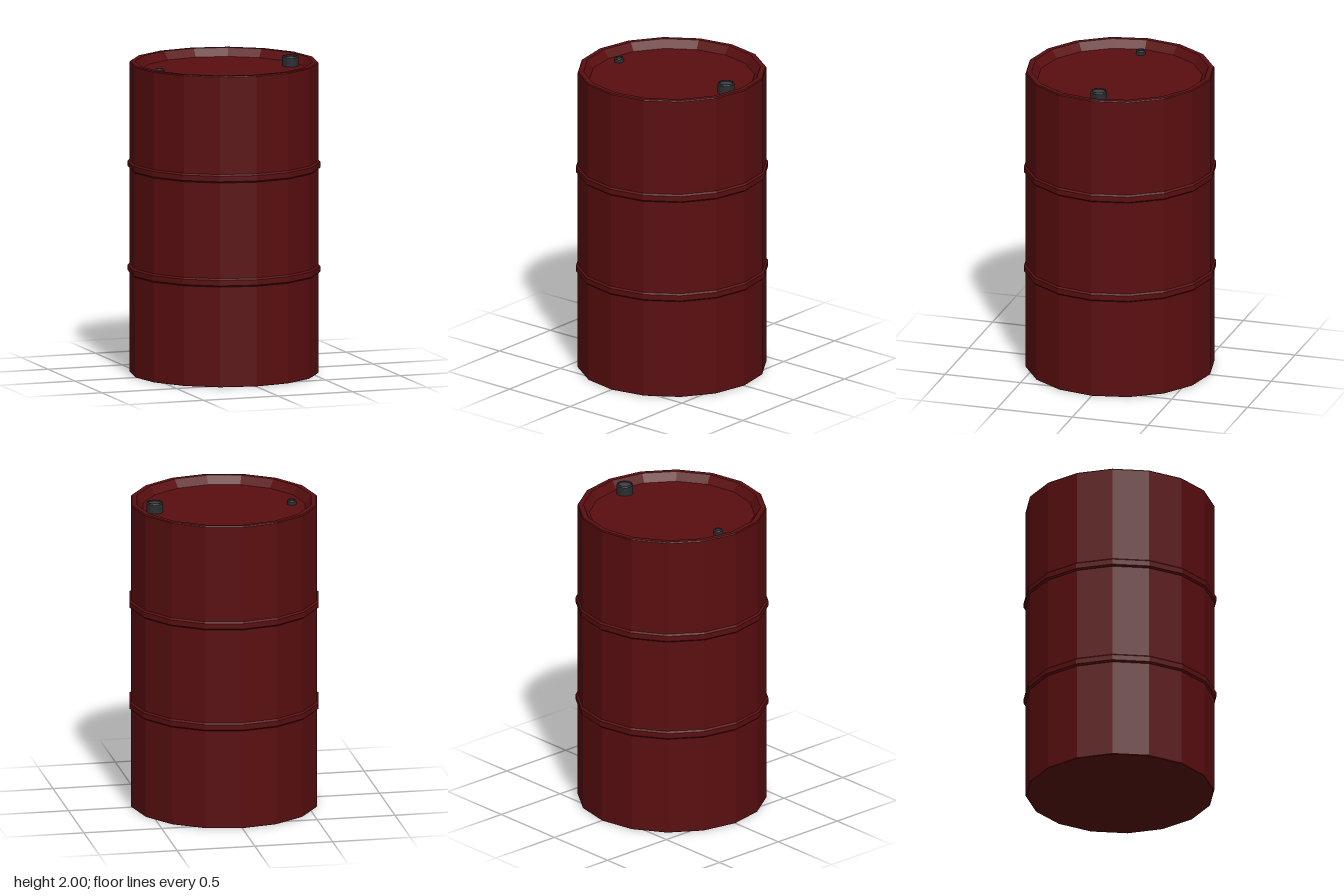
import * as THREE from 'three';

const SIDES = 16;

// Revolves a [radius, height] profile and gives it crisp facets.
function lathe(name, profile, sides, material) {
  const points = profile.map(([r, y]) => new THREE.Vector2(r, y));
  const geometry = new THREE.LatheGeometry(points, sides).toNonIndexed();
  geometry.computeVertexNormals();
  const mesh = new THREE.Mesh(geometry, material);
  mesh.name = name;
  return mesh;
}

export function createModel() {
  const paint = new THREE.MeshStandardMaterial({ color: 0x5a0e10 });
  paint.name = 'dark red paint';
  const capRim = new THREE.MeshStandardMaterial({ color: 0x2b2d30 });
  capRim.name = 'dark grey metal';
  const capFace = new THREE.MeshStandardMaterial({ color: 0x403e46 });
  capFace.name = 'grey metal';

  const drum = new THREE.Group();
  drum.name = 'drum';

  // Shell: flat base, straight wall, rim and sloping inner lip
  drum.add(lathe('shell', [
    [0, 0], [0.593, 0], [0.597, 0.006], [0.597, 1.98], [0.592, 1.986],
    [0.56, 1.986], [0.522, 1.935],
  ], SIDES, paint));

  // Recessed lid
  drum.add(lathe('lid', [[0.522, 1.935], [0, 1.935]], SIDES, paint));

  // Two bevelled rolling hoops
  for (const [name, y] of [['lowerHoop', 0.667], ['upperHoop', 1.332]]) {
    drum.add(lathe(name, [
      [0.595, y - 0.029], [0.609, y - 0.017], [0.609, y + 0.017], [0.595, y + 0.029],
    ], SIDES, paint));
  }

  // Screw caps: bevelled rim around a slightly sunken face
  function addCap(name, x, radius, inner, height) {
    const cap = new THREE.Group();
    cap.name = name;
    const sunk = height - 0.008;
    cap.add(lathe(name + 'Rim', [
      [radius, 0], [radius, height - 0.008], [radius - 0.006, height],
      [inner, height], [inner, sunk],
    ], 16, capRim));
    cap.add(lathe(name + 'Face', [[inner, sunk], [0, sunk]], 16, capFace));
    cap.position.set(x, 1.935, 0);
    drum.add(cap);
  }
  addCap('largeCap', 0.445, 0.053, 0.042, 0.065);
  addCap('smallCap', -0.435, 0.03, 0.019, 0.03);

  return drum;
}
